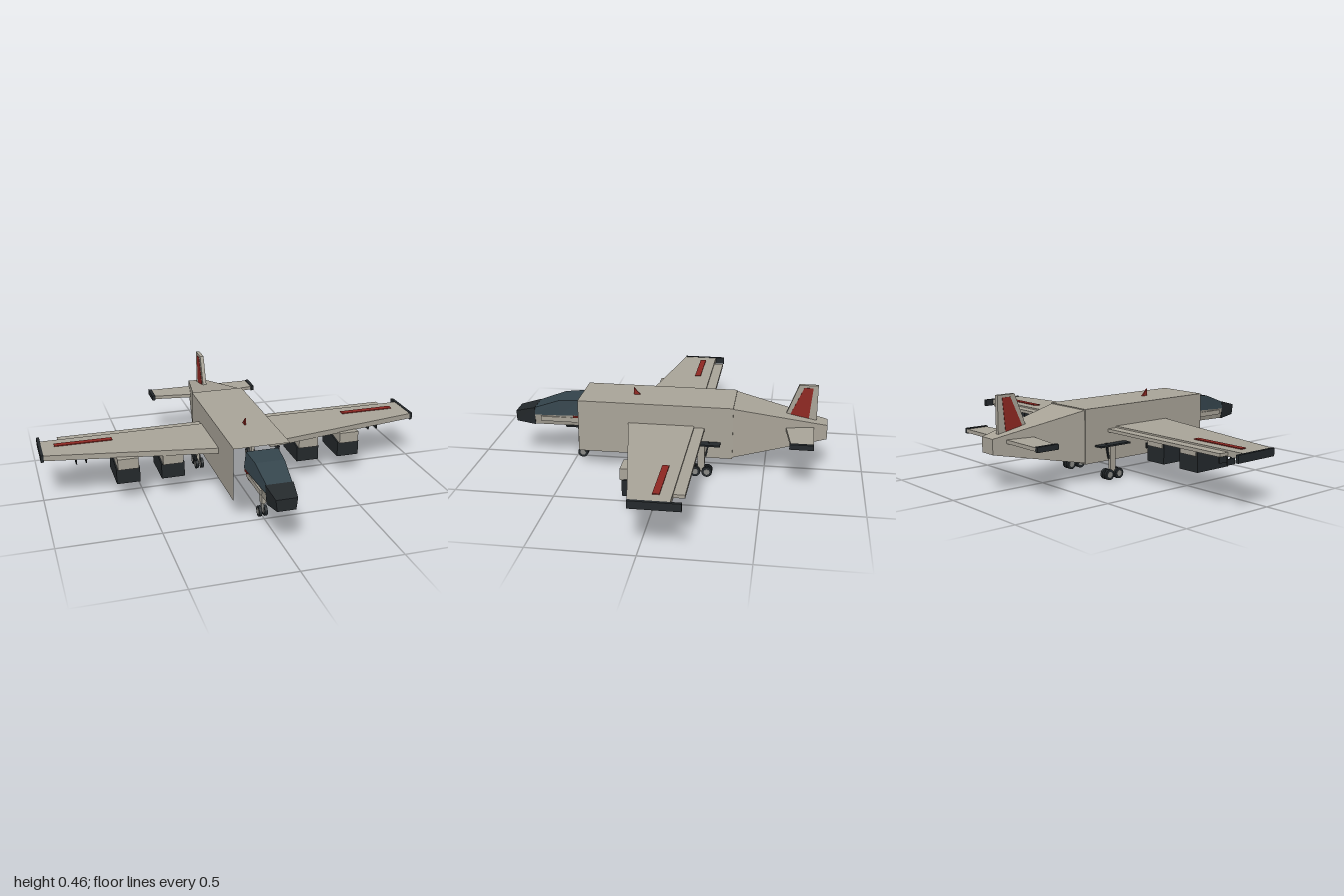
import * as THREE from 'three';

const mat = (color) => new THREE.MeshStandardMaterial({ color, flatShading: true });
const HULL = mat(0xaaa599), DARK = mat(0x24292c), GLASS = mat(0x34444c), RED = mat(0x8f2822), METAL = mat(0x8a8a86);

export function createModel() {
  const model = new THREE.Group();

  const add = (name, geometry, material, x = 0, y = 0, z = 0) => {
    const mesh = new THREE.Mesh(geometry, material);
    mesh.name = name;
    mesh.position.set(x, y, z);
    model.add(mesh);
    return mesh;
  };

  // box given by its limits on each axis
  const box = (name, material, [x0, x1], [y0, y1], [z0, z1]) =>
    add(name, new THREE.BoxGeometry(Math.abs(x1 - x0), y1 - y0, z1 - z0), material,
      (x0 + x1) / 2, (y0 + y1) / 2, (z0 + z1) / 2);

  // hull through trapezoid sections, front to back: [z, bottom half width, top half width, y0, y1]
  const loft = (name, material, sections, frontCap = true, backCap = true) => {
    const rings = sections.map(([z, b, t, y0, y1]) => [[-b, y0, z], [b, y0, z], [t, y1, z], [-t, y1, z]]);
    const pos = [];
    const quad = (a, b, c, d) => pos.push(...a, ...b, ...c, ...a, ...c, ...d);
    for (let i = 0; i < rings.length - 1; i++) {
      for (let k = 0; k < 4; k++) {
        const n = (k + 1) % 4;
        quad(rings[i][k], rings[i + 1][k], rings[i + 1][n], rings[i][n]);
      }
    }
    if (frontCap) quad(...rings[0]);
    if (backCap) quad(...[...rings[rings.length - 1]].reverse());
    const g = new THREE.BufferGeometry();
    g.setAttribute('position', new THREE.Float32BufferAttribute(pos, 3));
    g.computeVertexNormals();
    return add(name, g, material);
  };

  const shapeOf = (pts) => new THREE.Shape(pts.map(([a, b]) => new THREE.Vector2(a, b)));

  // horizontal plate from an [x, z] outline
  const plate = (name, material, pts, y0, y1) => {
    const g = new THREE.ExtrudeGeometry(shapeOf(pts.map(([x, z]) => [x, -z])), { depth: y1 - y0, bevelEnabled: false });
    add(name, g.rotateX(-Math.PI / 2), material, 0, y0, 0);
  };

  // upright plate on the centre line from a [z, y] outline
  const upright = (name, material, pts, t) => {
    const g = new THREE.ExtrudeGeometry(shapeOf(pts), { depth: t, bevelEnabled: false });
    add(name, g.rotateY(-Math.PI / 2), material, t / 2, 0, 0);
  };

  const wheel = (x, z) => {
    const tyre = new THREE.CylinderGeometry(0.027, 0.027, 0.014, 16).rotateZ(Math.PI / 2);
    const hub = new THREE.CylinderGeometry(0.015, 0.015, 0.017, 12).rotateZ(Math.PI / 2);
    add('wheel', tyre, DARK, x, 0.027, z);
    add('wheelHub', hub, METAL, x, 0.027, z);
  };

  // fuselage shell with an open front, and tapering tail
  loft('fuselage', HULL, [[0.455, 0.14, 0.14, 0.092, 0.365], [-0.34, 0.14, 0.14, 0.092, 0.365]], false);
  loft('tailCone', HULL, [[-0.34, 0.135, 0.135, 0.098, 0.36], [-0.81, 0.045, 0.045, 0.19, 0.265]]);
  add('innerBulkhead', new THREE.CylinderGeometry(0.08, 0.08, 0.01, 20).rotateX(Math.PI / 2), DARK, 0, 0.22, -0.33);

  // cockpit
  loft('cockpitBody', HULL, [[0.705, 0.055, 0.066, 0.192, 0.248], [0.455, 0.07, 0.086, 0.2, 0.265]]);
  loft('canopy', GLASS, [
    [0.705, 0.067, 0.062, 0.247, 0.285],
    [0.57, 0.08, 0.072, 0.255, 0.335],
    [0.455, 0.09, 0.08, 0.263, 0.345],
  ]);
  loft('nose', DARK, [[0.81, 0.045, 0.052, 0.2, 0.258], [0.705, 0.06, 0.067, 0.19, 0.286]]);

  // tail fin and roof antenna
  upright('tailFin', HULL, [[-0.595, 0.29], [-0.66, 0.46], [-0.755, 0.46], [-0.755, 0.25]], 0.02);
  upright('finPanel', RED, [[-0.62, 0.3], [-0.685, 0.447], [-0.73, 0.447], [-0.715, 0.283]], 0.024);
  upright('roofAntenna', RED, [[0.187, 0.362], [0.187, 0.402], [0.15, 0.362]], 0.008);

  for (const s of [-1, 1]) {
    // wing
    plate('wing', HULL, [[s * 0.13, 0.195], [s * 0.985, 0.04], [s * 0.985, -0.145], [s * 0.13, -0.145]], 0.232, 0.26);
    box('flap', HULL, [s * 0.14, s * 0.895], [0.236, 0.252], [-0.197, -0.145]);
    box('wingTip', DARK, [s * 0.985, s * 1], [0.225, 0.262], [-0.195, 0.04]);
    box('wingStripe', RED, [s * 0.63, s * 0.922], [0.255, 0.264], [0.058, 0.09].map((v) => v).sort().map((v) => -v).reverse());
    box('cockpitStripe', RED, [s * 0.08, s * 0.088], [0.248, 0.258], [0.456, 0.495]);
    box('cheekPanel', HULL, [s * 0.07, s * 0.08], [0.22, 0.245], [0.46, 0.67]);

    // engines
    for (const x of [0.36, 0.587]) {
      box('enginePylon', HULL, [s * (x - 0.052), s * (x + 0.052)], [0.18, 0.236], [-0.085, 0.14]);
      loft('engine', DARK, [[0.13, 0.059, 0.059, 0.102, 0.18], [-0.08, 0.059, 0.059, 0.102, 0.207]]).position.x = s * x;
    }

    // small hardpoints and gun under the wing
    for (const x of [0.772, 0.822]) {
      box('hardpoint', DARK, [s * (x - 0.003), s * (x + 0.003)], [0.167, 0.196], [-0.07, -0.02]);
      box('hardpointMount', DARK, [s * (x - 0.002), s * (x + 0.002)], [0.19, 0.234], [-0.05, -0.04]);
    }
    box('underwingGun', DARK, [s * 0.22, s * 0.23], [0.143, 0.17], [-0.02, 0.06]);

    // tailplane
    plate('tailplane', HULL, [[s * 0.04, -0.598], [s * 0.29, -0.632], [s * 0.29, -0.742], [s * 0.04, -0.742]], 0.238, 0.256);
    box('tailplaneTip', DARK, [s * 0.287, s * 0.305], [0.234, 0.26], [-0.742, -0.625]);

    // main landing gear
    box('gearDoor', DARK, [s * 0.125, s * 0.187], [0.172, 0.18], [-0.28, -0.09]);
    box('gearStrut', HULL, [s * 0.147, s * 0.163], [0.03, 0.175], [-0.202, -0.167]);
    box('gearBogie', METAL, [s * 0.151, s * 0.159], [0.02, 0.034], [-0.215, -0.155]);
    const brace = box('gearBrace', DARK, [s * 0.151, s * 0.159], [0.105, 0.185], [-0.218, -0.21]);
    brace.rotation.x = -0.2;
    for (const z of [-0.155, -0.215]) for (const dx of [-0.014, 0.014]) wheel(s * 0.155 + dx, z);
    wheel(s * 0.014, 0.465);
  }

  // nose landing gear
  box('noseGearDoor', DARK, [-0.03, 0.03], [0.172, 0.18], [0.44, 0.55]);
  box('noseGearStrut', HULL, [-0.01, 0.01], [0.075, 0.195], [0.455, 0.49]);
  box('noseGearLeg', METAL, [-0.006, 0.006], [0.02, 0.08], [0.459, 0.473]);

  return model;
}
